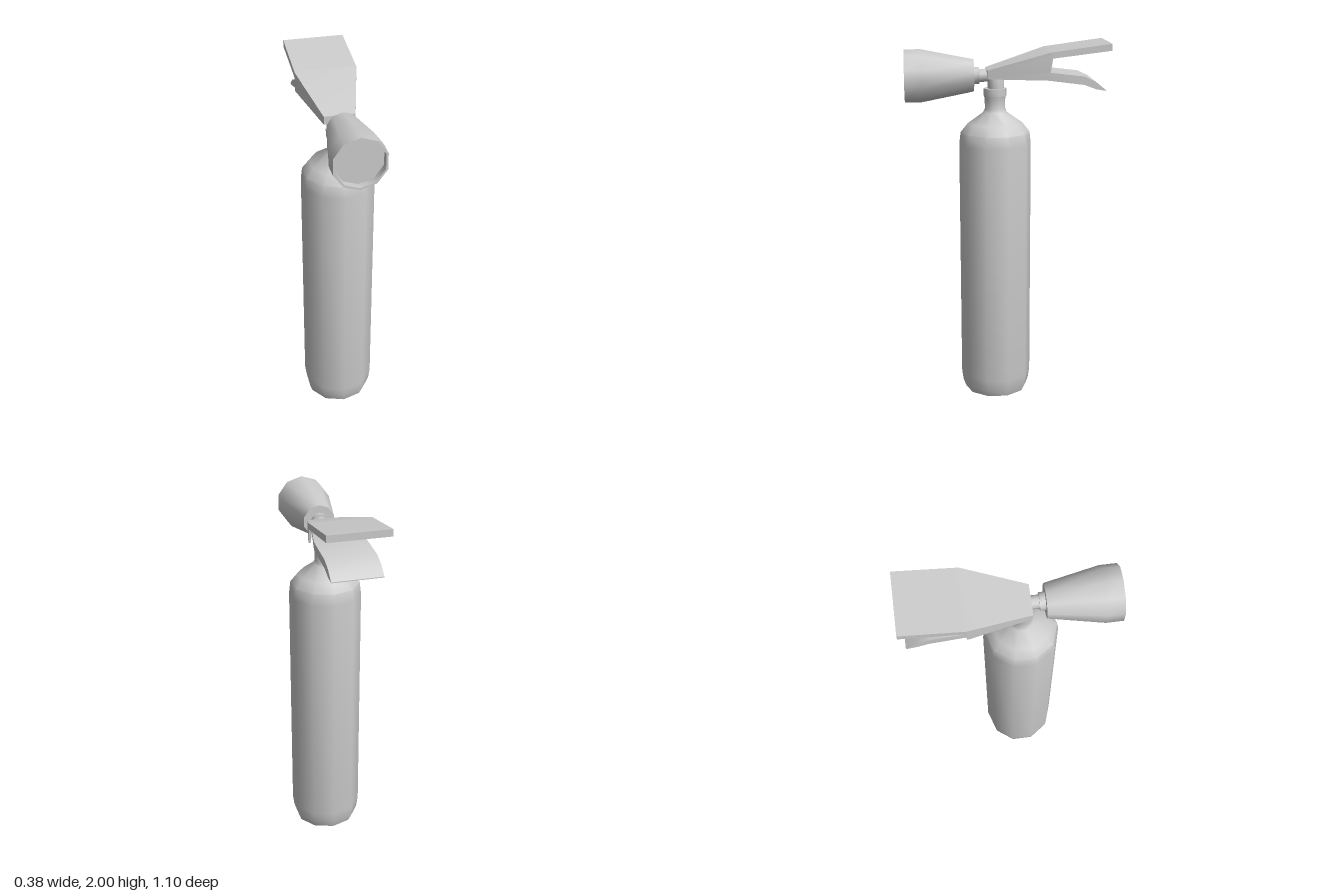
import * as THREE from 'three';
import { toCreasedNormals } from 'three/addons/utils/BufferGeometryUtils.js';

const material = new THREE.MeshStandardMaterial({ color: 0xcccccc });

function add(group, name, geometry) {
  const mesh = new THREE.Mesh(geometry, material);
  mesh.name = name;
  group.add(mesh);
  return mesh;
}

// Ten-sided turned part, profile given as [radius, height]
function turned(profile) {
  const points = profile.map(([r, y]) => new THREE.Vector2(r, y));
  return toCreasedNormals(new THREE.LatheGeometry(points, 10), 0.75);
}

// Solid through rectangular sections [z, xMin, xMax, yMin, yMax], from front to back
function slab(sections) {
  const positions = [];
  const rings = sections.map(([z, x0, x1, y0, y1]) => [[x0, y0, z], [x1, y0, z], [x1, y1, z], [x0, y1, z]]);
  const quad = (a, b, c, d) => positions.push(...a, ...b, ...c, ...a, ...c, ...d);
  quad(...rings[0]);
  for (let i = 0; i + 1 < rings.length; i++) {
    for (let k = 0; k < 4; k++) {
      const n = (k + 1) % 4;
      quad(rings[i][n], rings[i][k], rings[i + 1][k], rings[i + 1][n]);
    }
  }
  quad(...rings[rings.length - 1].slice().reverse());
  const geometry = new THREE.BufferGeometry();
  geometry.setAttribute('position', new THREE.Float32BufferAttribute(positions, 3));
  geometry.computeVertexNormals();
  return toCreasedNormals(geometry, 0.5);
}

export function createModel() {
  const model = new THREE.Group();
  model.name = 'fireExtinguisher';

  // Cylinder body with rounded shoulder and neck
  const tankZ = 0.061;
  add(model, 'tank', turned([
    [0, 0], [0.176, 0], [0.19, 0.04], [0.198, 0.1], [0.198, 1.445], [0.19, 1.51],
    [0.15, 1.56], [0.065, 1.62], [0.056, 1.64], [0.056, 1.69], [0.06, 1.71], [0, 1.71],
  ])).position.z = tankZ;

  // Valve
  add(model, 'collar', turned([[0, 1.71], [0.062, 1.71], [0.062, 1.75], [0, 1.75]])).position.z = tankZ;
  add(model, 'valveBody', turned([[0, 1.75], [0.045, 1.75], [0.045, 1.79], [0.04, 1.825], [0, 1.825]])).position.z = tankZ - 0.005;

  // Outlet pipe, nut and discharge horn, turned to point forward
  const nozzle = new THREE.Group();
  nozzle.name = 'nozzle';
  nozzle.position.y = 1.82;
  nozzle.rotation.x = Math.PI / 2;
  model.add(nozzle);
  add(nozzle, 'outletPipe', turned([[0, 0.03], [0.035, 0.03], [0.035, 0.15], [0, 0.15]]));
  add(nozzle, 'outletNut', turned([[0, 0.147], [0.046, 0.147], [0.046, 0.185], [0, 0.185]]));
  add(nozzle, 'horn', turned([
    [0, 0.177], [0.0875, 0.177], [0.143, 0.46], [0.143, 0.55],
    [0.132, 0.55], [0.132, 0.51], [0, 0.51],
  ]));

  // Upper lever: folded plate with side flanges, deep in front and shallow behind
  const upper = [ // z, half width, top, flange bottom
    [0.107, 0.083, 1.855, 1.81],
    [-0.222, 0.167, 1.956, 1.85],
    [-0.235, 0.167, 1.958, 1.925],
    [-0.548, 0.167, 2.0, 1.963],
  ];
  const lever = new THREE.Group();
  lever.name = 'upperLever';
  model.add(lever);
  const sheet = 0.014;
  add(lever, 'leverPlate', slab(upper.map(([z, w, top]) => [z, -w, w, top - sheet, top])));
  add(lever, 'leftFlange', slab(upper.map(([z, w, top, low]) => [z, w - sheet, w, low, top - sheet])));
  add(lever, 'rightFlange', slab(upper.map(([z, w, top, low]) => [z, -w, sheet - w, low, top - sheet])));
  add(lever, 'frontLip', slab([[0.107, -0.07, 0.07, 1.81, 1.845], [0.09, -0.07, 0.07, 1.81, 1.848]]));
  add(lever, 'rearLip', slab([[-0.534, -0.155, 0.155, 1.961, 1.986], [-0.548, -0.155, 0.155, 1.963, 1.988]]));

  // Lower carrying handle, curving down to a thin tip
  const lower = [ // z, half width, bottom, top
    [0.1, 0.065, 1.806, 1.818],
    [-0.215, 0.136, 1.805, 1.848],
    [-0.41, 0.136, 1.78, 1.825],
    [-0.47, 0.136, 1.757, 1.797],
    [-0.525, 0.136, 1.747, 1.752],
  ];
  add(model, 'lowerHandle', slab(lower.map(([z, w, low, top]) => [z, -w, w, low, top])));

  return model;
}
